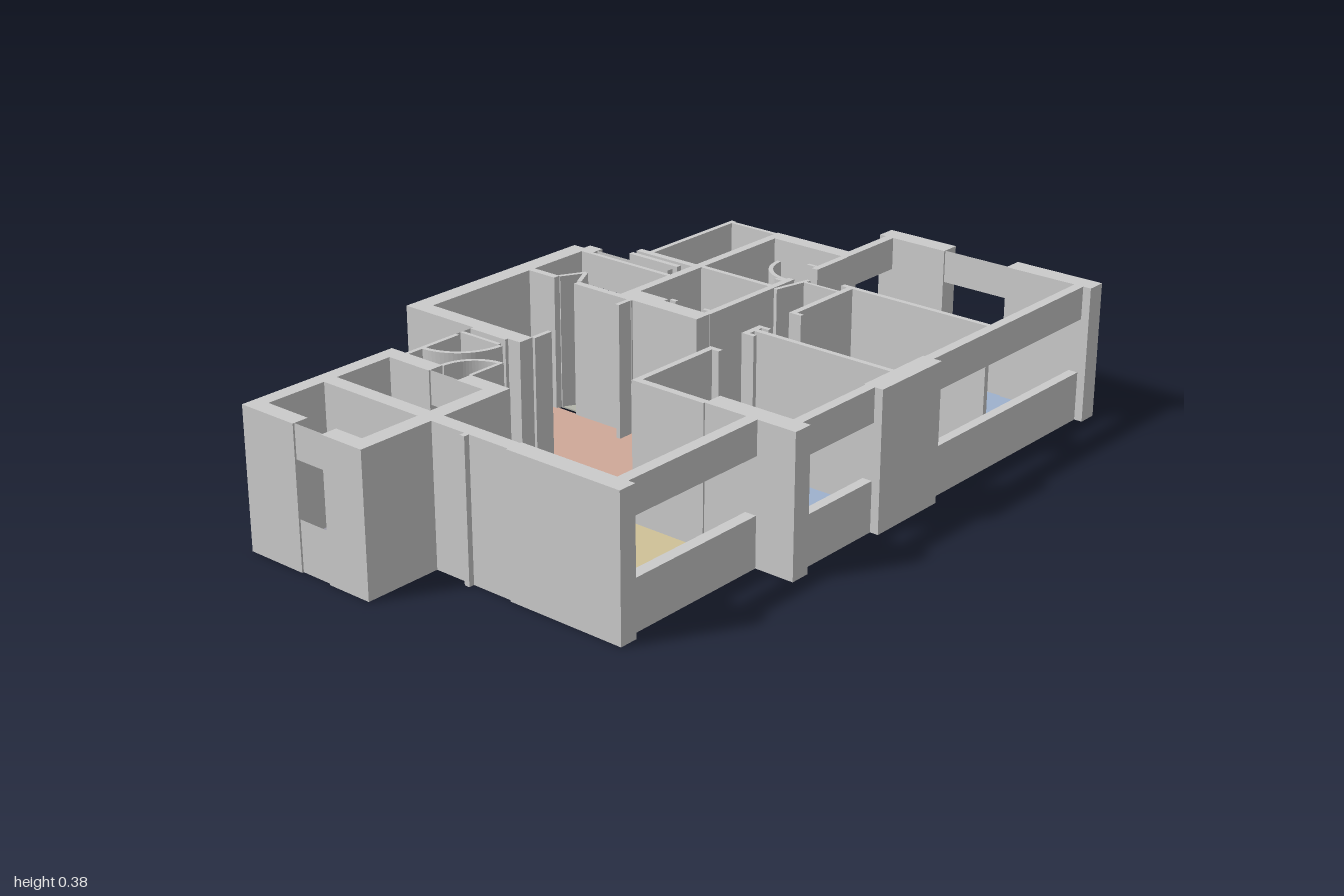
import * as THREE from 'three';

const H = 0.375, SILL = 0.135, HEAD = 0.285;

export function createModel() {
  const model = new THREE.Group();
  const grey = new THREE.MeshStandardMaterial({ color: 0xcccccc });

  const add = (name, geometry, material = grey) => {
    const mesh = new THREE.Mesh(geometry, material);
    mesh.name = name;
    model.add(mesh);
    return mesh;
  };

  // Box from plan limits; hollow boxes have no top or bottom face
  const block = (name, [x0, x1, z0, z1], y0 = 0, y1 = H, hollow = false) => {
    const g = new THREE.BoxGeometry(x1 - x0, y1 - y0, z1 - z0);
    if (hollow) {
      const index = Array.from(g.index.array);
      index.splice(12, 12);
      g.setIndex(index);
      g.clearGroups();
    }
    g.translate((x0 + x1) / 2, (y0 + y1) / 2, (z0 + z1) / 2);
    add(name, g);
  };
  const walls = (name, list) => list.forEach((r) => block(name, r));

  // Window: parapet below, lintel above
  const windowWall = (name, r, hollow = false) => {
    block(name + 'Sill', r, 0, SILL, hollow);
    block(name + 'Lintel', r, HEAD, H, hollow);
  };

  // Thin coloured floor from a plan outline
  const floor = (name, color, points) => {
    const shape = new THREE.Shape(points.map(([x, z]) => new THREE.Vector2(x, -z)));
    const g = new THREE.ExtrudeGeometry(shape, { depth: 0.004, bevelEnabled: false });
    g.rotateX(-Math.PI / 2);
    add(name, g, new THREE.MeshStandardMaterial({ color }));
  };
  const rectFloor = (name, color, x0, x1, z0, z1) =>
    floor(name, color, [[x0, z0], [x1, z0], [x1, z1], [x0, z1]]);

  // Curved upright panel tracing a door swing (angles in plan, z down)
  const doorArc = (name, cx, cz, r, a0, a1, t = 0.012) => {
    const shape = new THREE.Shape();
    shape.absarc(cx, -cz, r, a0, a1, false);
    shape.absarc(cx, -cz, r - t, a1, a0, true);
    const g = new THREE.ExtrudeGeometry(shape, { depth: H, bevelEnabled: false, curveSegments: 10 });
    g.rotateX(-Math.PI / 2);
    add(name, g);
  };

  // Straight thin panel between two plan points
  const panel = (name, x0, z0, x1, z1, t = 0.012) => {
    const g = new THREE.BoxGeometry(Math.hypot(x1 - x0, z1 - z0), H, t);
    g.rotateY(-Math.atan2(z1 - z0, x1 - x0));
    g.translate((x0 + x1) / 2, H / 2, (z0 + z1) / 2);
    add(name, g);
  };

  // Floors
  rectFloor('storeFloor', 0x9c9aa6, -0.955, -0.785, -0.40, -0.085);
  rectFloor('utilityFloor', 0x9c9aa6, -0.745, -0.575, -0.40, -0.085);
  floor('kitchenFloor', 0xcfc197, [[-0.75, -0.035], [-0.53, -0.035], [-0.53, -0.165],
    [-0.41, -0.165], [-0.2, 0.035], [-0.2, 0.14], [-0.30, 0.14], [-0.30, 0.48], [-0.75, 0.48]]);
  floor('hallFloor', 0xcfa999, [[-0.26, -0.58], [0.105, -0.58], [0.105, -0.03], [-0.015, -0.03],
    [-0.09, 0.035], [-0.2, 0.035], [-0.41, -0.165], [-0.43, -0.22], [-0.53, -0.29],
    [-0.53, -0.385], [-0.48, -0.385], [-0.45, -0.31], [-0.39, -0.26], [-0.34, -0.25], [-0.34, -0.385], [-0.26, -0.385]]);
  floor('livingFloor', 0x9eb1cd, [[-0.2, 0.035], [-0.09, 0.035], [-0.015, -0.03], [0.105, -0.03],
    [0.105, 0], [0.95, 0], [0.95, 0.58], [-0.25, 0.58], [-0.25, 0.36], [-0.285, 0.36], [-0.285, 0.14], [-0.2, 0.14]]);
  rectFloor('bathFloorInner', 0x97bfbf, 0.17, 0.415, -0.25, -0.02);
  rectFloor('bathFloorOuter', 0x97bfbf, 0.43, 0.73, -0.25, -0.02);
  rectFloor('closetFloor', 0xb2b4aa, 0.12, 0.305, -0.58, -0.27);
  rectFloor('balconyFloor', 0xa5a5a5, 0.425, 0.76, -0.43, -0.27);

  // Back left wing with two small rooms
  walls('backLeftWall', [
    [-1, -0.53, -0.44, -0.40], [-1, -0.53, -0.085, -0.04],
    [-1, -0.955, -0.40, -0.265], [-1, -0.955, -0.17, -0.085],
    [-0.785, -0.745, -0.40, -0.085],
    [-0.575, -0.53, -0.40, -0.265], [-0.575, -0.53, -0.17, -0.085],
  ]);
  windowWall('sideWindow', [-0.995, -0.955, -0.265, -0.17], true);
  block('innerDoorLintel', [-0.57, -0.535, -0.265, -0.17], HEAD, H, true);

  // Entry between wing and main back block
  windowWall('entryWindow', [-0.53, -0.30, -0.43, -0.39], true);
  walls('entryWall', [[-0.345, -0.335, -0.39, -0.26], [-0.31, -0.30, -0.39, -0.27], [-0.53, -0.36, -0.392, -0.38]]);
  doorArc('entryDoorSwing', -0.345, -0.385, 0.14, Math.PI, Math.PI * 1.5);
  doorArc('kitchenDoorSwing', -0.53, -0.165, 0.107, 0, Math.PI / 2);
  panel('kitchenDoorLeaf', -0.53, -0.17, -0.425, -0.17, 0.01);

  // Kitchen
  walls('kitchenWall', [
    [-0.785, -0.745, -0.04, 0.2], [-0.79, -0.74, 0.2, 0.535], [-0.80, -0.785, 0.065, 0.08],
    [-0.305, -0.285, 0.14, 0.36], [-0.30, -0.245, 0.36, 0.625],
  ]);
  windowWall('kitchenWindow', [-0.74, -0.30, 0.483, 0.515]);

  // Back block and closet
  walls('backBlockWall', [
    [-0.30, 0.33, -0.63, -0.58], [-0.30, -0.255, -0.58, -0.23],
    [0.10, 0.12, -0.58, -0.49], [0.10, 0.12, -0.42, -0.22],
    [-0.255, -0.195, -0.235, -0.222], [0.055, 0.105, -0.235, -0.222],
    [0.305, 0.33, -0.58, -0.55], [0.33, 0.355, -0.595, -0.55],
  ]);
  windowWall('closetWindow', [0.305, 0.318, -0.55, -0.27]);
  windowWall('outerClosetWindow', [0.335, 0.355, -0.55, -0.30], true);
  panel('foldingDoor', 0.12, -0.49, 0.185, -0.455);
  panel('foldingDoor', 0.185, -0.455, 0.12, -0.42);

  // Bathrooms
  walls('bathWall', [
    [0.105, 0.775, -0.275, -0.25], [0.73, 0.775, -0.25, -0.005],
    [0.105, 0.17, -0.25, -0.155], [0.105, 0.155, -0.155, -0.005],
    [0.415, 0.43, -0.25, -0.02],
    [0.155, 0.50, -0.022, -0.003], [0.60, 0.73, -0.022, -0.003],
    [0.17, 0.18, -0.15, -0.13], [0.17, 0.18, -0.04, -0.02],
    [0.47, 0.48, -0.045, -0.02], [0.615, 0.625, -0.05, -0.02],
  ]);
  doorArc('bathDoorSwing', 0.59, -0.02, 0.11, Math.PI / 2, Math.PI);
  panel('bathDoorLeaf', 0.41, 0.005, 0.52, 0.03);

  // Balcony parapet and lintel
  windowWall('balconyBack', [0.405, 0.775, -0.44, -0.425]);
  windowWall('balconySide', [0.757, 0.77, -0.425, -0.275]);
  windowWall('balconyInnerSide', [0.405, 0.425, -0.47, -0.275]);
  windowWall('balconyReturn', [0.375, 0.39, -0.47, -0.30]);

  // Right outer wall and back window of the living room
  walls('rightWall', [[0.945, 1, -0.05, 0.165], [0.945, 1, 0.365, 0.625]]);
  windowWall('rightWindow', [0.95, 1, 0.165, 0.365], true);
  windowWall('livingBackWindow', [0.775, 0.945, -0.03, -0.005]);

  // Front wall
  block('frontPier', [0.03, 0.27, 0.57, 0.625]);
  windowWall('frontWindow', [-0.245, 0.03, 0.575, 0.602]);
  windowWall('frontWindow', [0.27, 0.945, 0.575, 0.602]);

  // Room partitions
  walls('partition', [
    [-0.30, -0.015, 0.14, 0.157], [-0.03, -0.015, 0.157, 0.178],
    [0.105, 0.175, 0.14, 0.157], [0.105, 0.117, 0.157, 0.178], [0.163, 0.175, 0.157, 0.178],
    [0.135, 0.15, 0.157, 0.575],
    [0.295, 0.555, 0.14, 0.157], [0.295, 0.307, 0.157, 0.178],
    [0.54, 0.555, 0.12, 0.575], [0.497, 0.506, 0.03, 0.14],
  ]);

  return model;
}
